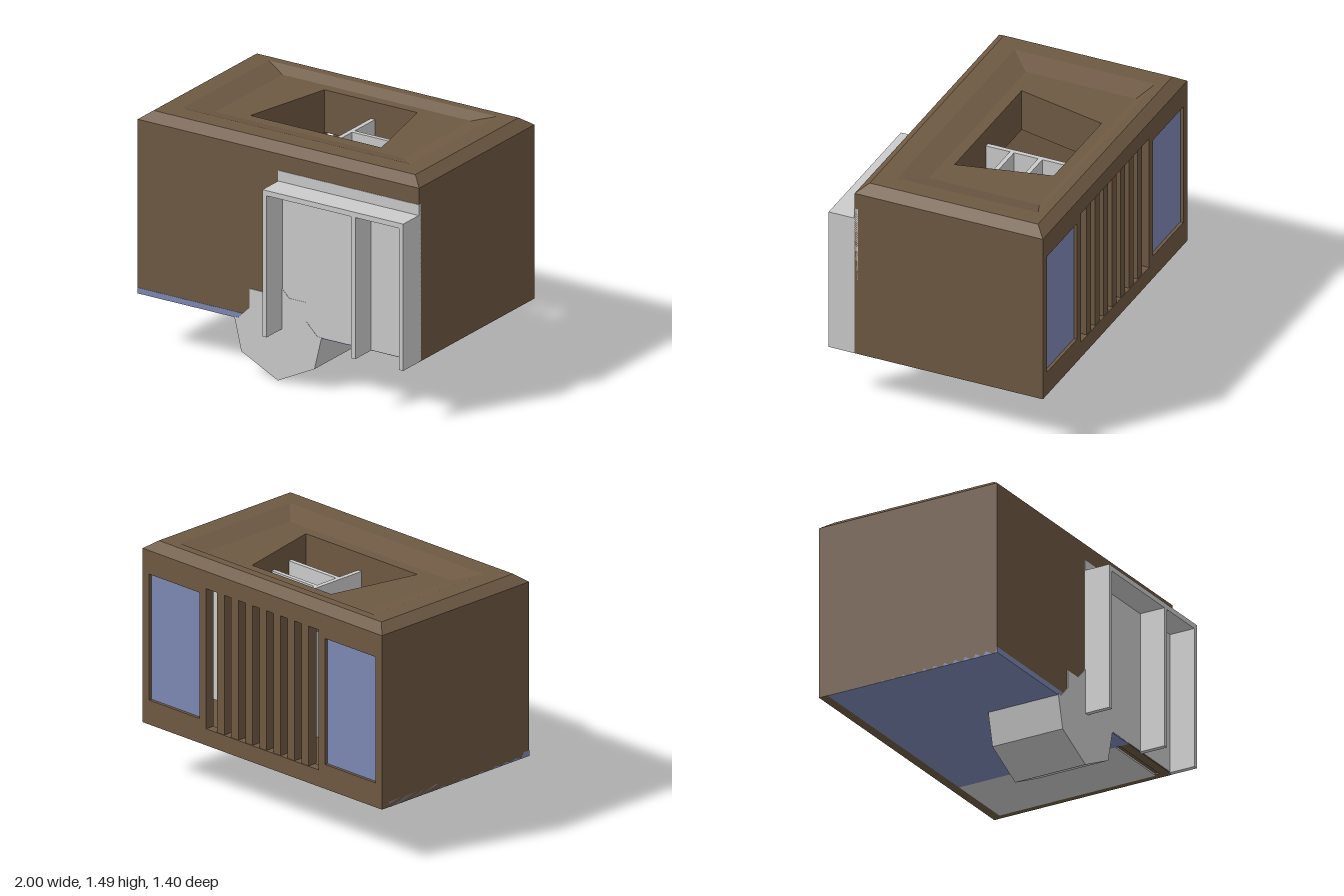
import * as THREE from 'three';

const mat = (color) => new THREE.MeshStandardMaterial({ color, flatShading: true, side: THREE.DoubleSide });

export function createModel() {
  const model = new THREE.Group();
  const brown = mat(0x6e5943), grey = mat(0xcccccc), blue = mat(0x7d88b4);

  const add = (name, geometry, material) => {
    const mesh = new THREE.Mesh(geometry, material);
    mesh.name = name;
    model.add(mesh);
    return mesh;
  };
  // box from its lower and upper corner
  const box = (name, material, x0, y0, z0, x1, y1, z1) =>
    add(name, new THREE.BoxGeometry(x1 - x0, y1 - y0, z1 - z0), material)
      .position.set((x0 + x1) / 2, (y0 + y1) / 2, (z0 + z1) / 2);
  const points = (list) => list.map(([x, y]) => new THREE.Vector2(x, y));
  const rect = (x0, y0, x1, y1) => points([[x0, y0], [x1, y0], [x1, y1], [x0, y1]]);
  // flat outline with holes, extruded from z0 to z1
  const plate = (name, material, outline, holes, z0, z1) => {
    const shape = new THREE.Shape(outline);
    holes.forEach((h) => shape.holes.push(new THREE.Path(h)));
    const geometry = new THREE.ExtrudeGeometry(shape, { depth: z1 - z0, bevelEnabled: false });
    add(name, geometry.translate(0, 0, z0), material);
  };

  // roof: four-cornered rings from the eaves over the rim, into the recess and down the light well
  const rings = [ // y, back z, back half width, front z, front half width
    [1.44, -0.70, 1, 0.53, 1],
    [1.49, -0.635, 0.93, 0.465, 0.93],
    [1.49, -0.58, 0.81, 0.34, 0.81],
    [1.45, -0.52, 0.67, 0.20, 0.67],
    [1.45, -0.455, 0.33, 0.13, 0.465],
    [1.18, -0.455, 0.33, 0.13, 0.465],
  ].map(([y, zb, wb, zf, wf]) => [[-wf, y, zf], [wf, y, zf], [wb, y, zb], [-wb, y, zb]]);
  const pos = [];
  for (let r = 0; r < rings.length - 1; r++) {
    for (let i = 0; i < 4; i++) {
      const j = (i + 1) % 4;
      const a = rings[r][i], b = rings[r][j], c = rings[r + 1][j], d = rings[r + 1][i];
      pos.push(...a, ...b, ...c, ...a, ...c, ...d);
    }
  }
  const roof = new THREE.BufferGeometry();
  roof.setAttribute('position', new THREE.Float32BufferAttribute(pos, 3));
  roof.computeVertexNormals();
  add('roof', roof, brown);

  // ceiling with the light well cut out
  const ceiling = new THREE.Shape(rect(-0.95, -0.48, 0.95, 0.65));
  ceiling.holes.push(new THREE.Path(points([[-0.465, -0.13], [0.465, -0.13], [0.33, 0.455], [-0.33, 0.455]])));
  add('ceiling', new THREE.ShapeGeometry(ceiling).rotateX(-Math.PI / 2).translate(0, 1.345, 0), brown);

  // outer walls and floor
  box('frontWall', brown, -1, 0.335, 0.47, 1, 1.44, 0.53);
  for (const s of [-1, 1]) {
    box('sideWall', brown, Math.min(s, s * 0.95), 0.335, -0.64, Math.max(s, s * 0.95), 1.44, 0.47);
  }
  plate('backWall', brown, rect(-1, 0.335, 1, 1.44), [
    rect(-0.945, 0.49, -0.525, 1.29),
    rect(0.525, 0.49, 0.945, 1.29),
    rect(-0.47, 0.44, 0.47, 1.33),
  ], -0.70, -0.64);
  box('floor', brown, -0.95, 0.345, -0.64, 0.95, 0.39, 0.47);
  box('bluePanelBelow', blue, -1, 0.334, -0.64, 0.5, 0.37, 0.532);
  box('greyPanelBelow', grey, 0.5, 0.334, -0.64, 0.96, 0.345, 0.44);

  // back windows and slats
  for (const s of [-1, 1]) {
    box('backWindow', blue, s * 0.735 - 0.215, 0.485, -0.68, s * 0.735 + 0.215, 1.295, -0.66);
  }
  for (let i = -3; i <= 3; i++) {
    const x = i * 0.1175;
    box('slat', brown, x - 0.03, 0.44, -0.695, x + 0.03, 1.33, -0.63);
  }

  // inner partitions
  box('middlePartition', grey, 0, 0.39, -0.455, 0.03, 1.34, 0.47);
  for (const z of [-0.225, -0.04]) {
    box('crossPartition', grey, 0.03, 0.39, z - 0.014, 0.95, 1.34, z + 0.014);
  }

  // front porch: back panel, canopy and posts
  box('porchPanel', grey, 0, 0.34, 0.51, 1, 1.335, 0.533);
  box('porchCanopy', grey, 0, 1.235, 0.53, 1, 1.268, 0.70);
  for (const x of [0, 0.63, 0.97]) box('porchPost', grey, x, 0.335, 0.53, x + 0.03, 1.24, 0.70);

  // keel trough: open shell with a raised top, closed by a stepped front plate
  const keel = [[-0.31, 0.34], [-0.26, 0.13], [0, 0], [0.26, 0.13], [0.31, 0.34]];
  plate('keelShell', grey,
    points([...keel, [0.29, 0.36], [0.145, 0.54], [-0.145, 0.54], [-0.29, 0.36]]),
    [points([[-0.265, 0.335], [-0.225, 0.155], [0, 0.045], [0.225, 0.155], [0.265, 0.335]])],
    0.05, 0.51);
  plate('keelFront', grey, points([...keel,
    [0.28, 0.34], [0.2, 0.42], [0.2, 0.54], [0.08, 0.54], [0, 0.62],
    [-0.08, 0.54], [-0.2, 0.54], [-0.2, 0.42], [-0.28, 0.34]]), [], 0.50, 0.535);

  return model;
}
